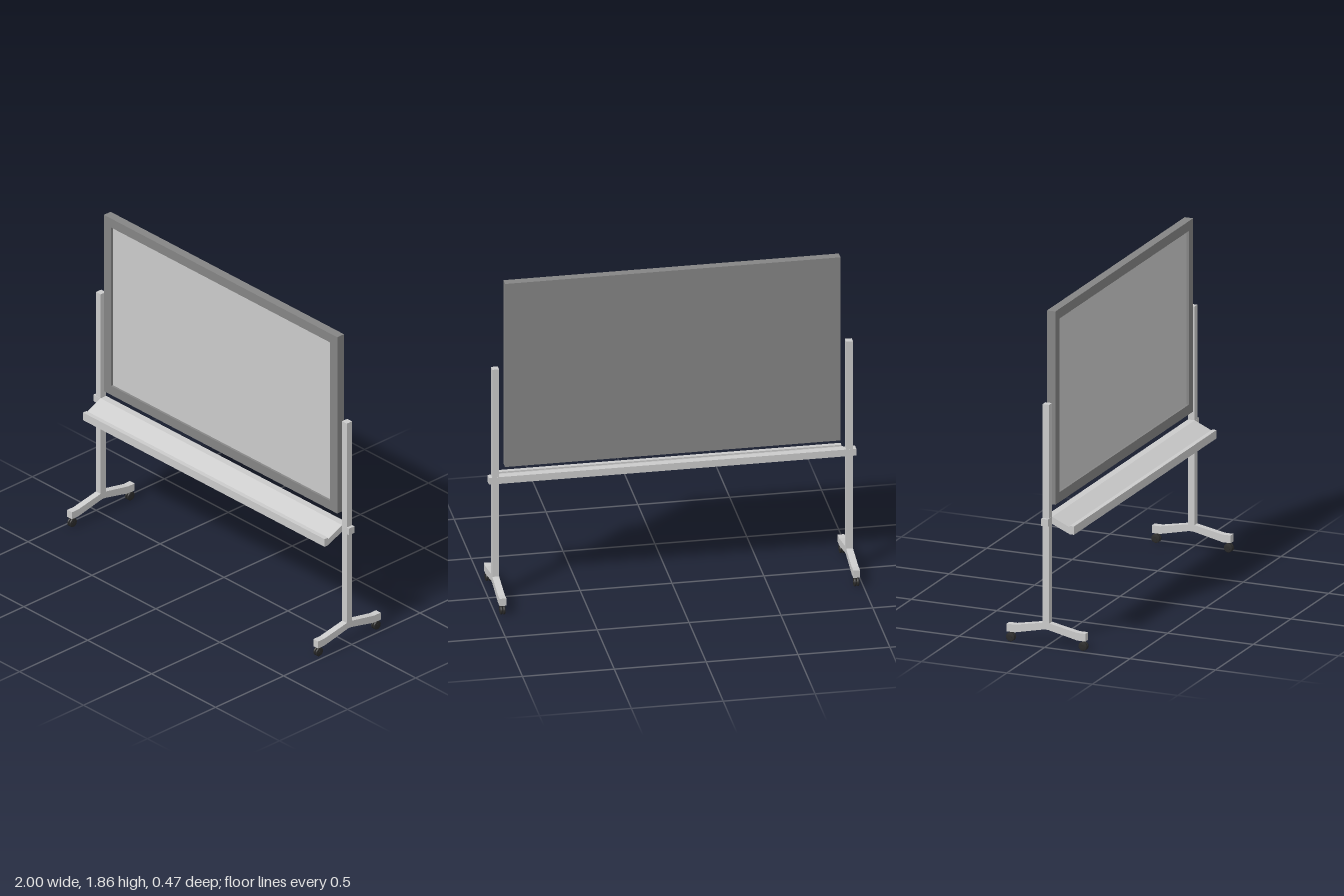
import * as THREE from 'three';

const grey = new THREE.MeshStandardMaterial({ color: 0xcccccc });
const dark = new THREE.MeshStandardMaterial({ color: 0x858585 });
const black = new THREE.MeshStandardMaterial({ color: 0x2a2a2a });

function add(parent, name, geometry, material, x = 0, y = 0, z = 0) {
  const mesh = new THREE.Mesh(geometry, material);
  mesh.name = name;
  mesh.position.set(x, y, z);
  parent.add(mesh);
  return mesh;
}

// Solid with a [z, y] side profile, extruded along x and centred on x = 0
function sideExtrude(points, width) {
  const shape = new THREE.Shape(points.map(([z, y]) => new THREE.Vector2(-z, y)));
  const geometry = new THREE.ExtrudeGeometry(shape, { depth: width, bevelEnabled: false });
  return geometry.translate(0, 0, -width / 2).rotateY(Math.PI / 2);
}

function rect(path, w, h) {
  path.moveTo(-w / 2, -h / 2).lineTo(w / 2, -h / 2).lineTo(w / 2, h / 2).lineTo(-w / 2, h / 2);
  path.closePath();
  return path;
}

function createBoard() {
  const board = new THREE.Group();
  board.name = 'board';
  board.position.y = 1.321;
  // Raised frame around the recessed writing surface
  const outline = rect(new THREE.Shape(), 1.826, 1.084);
  outline.holes.push(rect(new THREE.Path(), 1.714, 0.974));
  add(board, 'boardFrame', new THREE.ExtrudeGeometry(outline, { depth: 0.015, bevelEnabled: false }),
    dark, 0, 0, 0.01);
  add(board, 'boardBack', new THREE.BoxGeometry(1.826, 1.084, 0.034), dark, 0, 0, -0.007);
  add(board, 'writingSurface', new THREE.BoxGeometry(1.714, 0.974, 0.004), grey, 0, 0, 0.01);
  return board;
}

function createCaster() {
  const caster = new THREE.Group();
  caster.name = 'caster';
  add(caster, 'casterStem', new THREE.CylinderGeometry(0.008, 0.008, 0.036, 12), black, 0, 0.045, 0);
  add(caster, 'casterAxle', new THREE.CylinderGeometry(0.01, 0.01, 0.03, 16).rotateZ(Math.PI / 2),
    black, 0, 0.026, 0);
  // Twin wheels with rounded treads
  const profile = [[0, -0.006], [0.022, -0.006], [0.025, -0.003], [0.025, 0.003], [0.022, 0.006], [0, 0.006]];
  for (const side of [-1, 1]) {
    const wheel = new THREE.LatheGeometry(profile.map(([r, y]) => new THREE.Vector2(r, y)), 24);
    add(caster, 'wheel', wheel.rotateZ(Math.PI / 2), black, side * 0.008, 0.026, 0);
  }
  return caster;
}

function createStand() {
  const stand = new THREE.Group();
  stand.name = 'sideStand';
  add(stand, 'post', new THREE.BoxGeometry(0.037, 1.248, 0.038), grey, 0, 0.734, 0);
  // Arched foot with level pads at both ends
  add(stand, 'foot', sideExtrude([
    [0.23, 0.1], [0.23, 0.057], [0.183, 0.057], [0.012, 0.095], [-0.012, 0.095], [-0.183, 0.057],
    [-0.23, 0.057], [-0.23, 0.1], [-0.183, 0.1], [-0.019, 0.132], [0.019, 0.132], [0.183, 0.1],
  ], 0.037), grey);
  for (const z of [-0.212, 0.212]) {
    const caster = createCaster();
    caster.position.z = z;
    stand.add(caster);
  }
  return stand;
}

export function createModel() {
  const model = new THREE.Group();
  model.name = 'mobileBoard';
  model.add(createBoard());
  for (const side of [-1, 1]) {
    const stand = createStand();
    stand.position.x = side * 0.963;
    model.add(stand);
  }
  add(model, 'crossbar', new THREE.BoxGeometry(2, 0.04, 0.04), grey, 0, 0.7, 0);
  // Sloping tray with an upturned lip
  add(model, 'tray', sideExtrude([
    [0.02, 0.72], [0.02, 0.68], [0.123, 0.635], [0.148, 0.635],
    [0.148, 0.682], [0.123, 0.682], [0.123, 0.674],
  ], 1.89), grey);
  return model;
}
